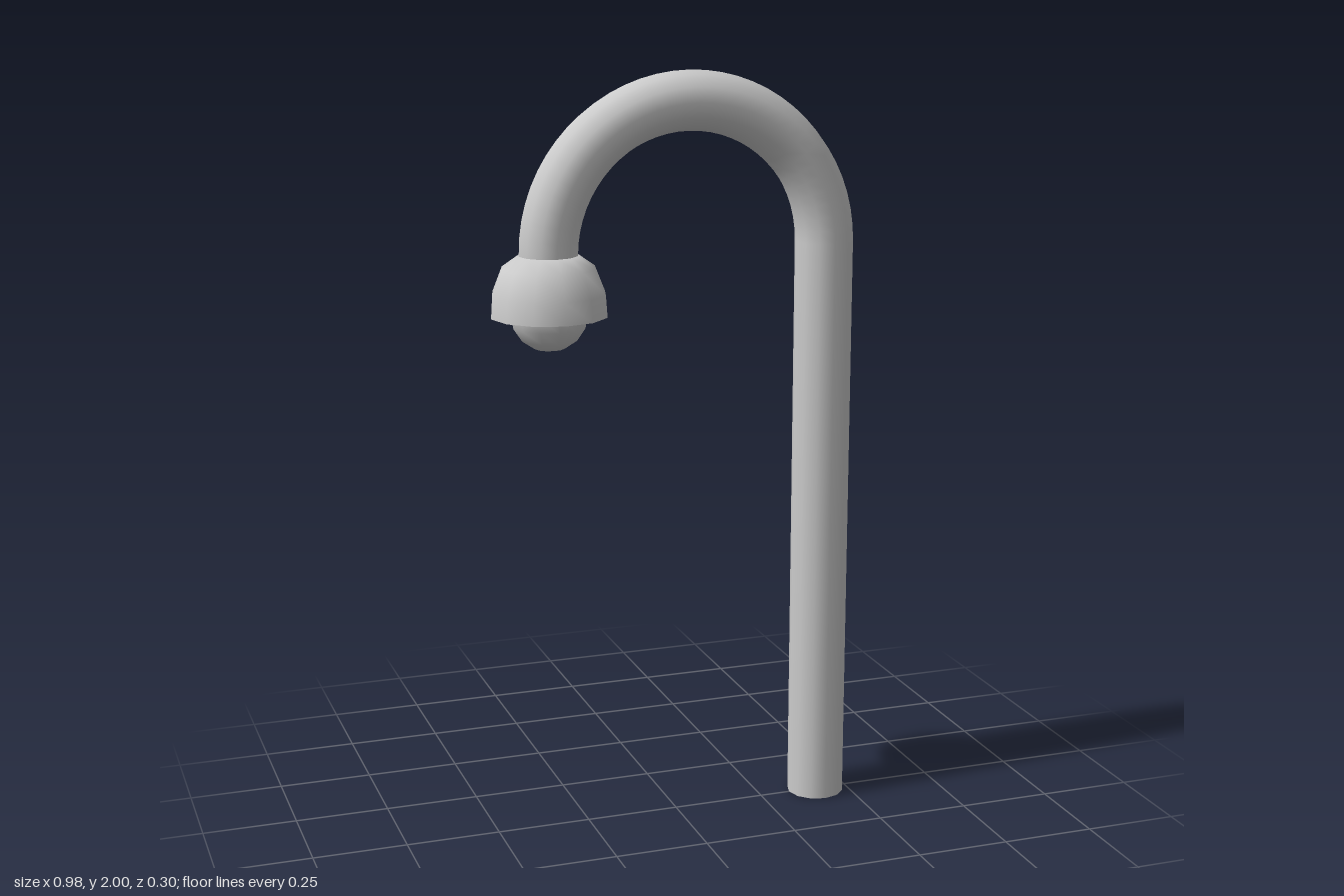
import * as THREE from 'three';

const SIDES = 12;
const TUBE = 0.077; // pipe radius
const BEND = 0.376; // bend radius
const BEND_Y = 1.547;
const BEND_X = 0.035;
const LAMP_X = BEND_X - BEND;
const RIM_Y = 1.392;

export function createModel() {
  const group = new THREE.Group();
  const material = new THREE.MeshStandardMaterial({ color: 0xcccccc });
  const add = (name, geometry, x, y) => {
    const mesh = new THREE.Mesh(geometry, material);
    mesh.name = name;
    mesh.position.set(x, y, 0);
    group.add(mesh);
    return mesh;
  };

  // Straight upright post
  add('post', new THREE.CylinderGeometry(TUBE, TUBE, BEND_Y, SIDES), BEND_X + BEND, BEND_Y / 2);

  // Half-circle crook on top of the post
  add('crook', new THREE.TorusGeometry(BEND, TUBE, SIDES, 32, Math.PI), BEND_X, BEND_Y);

  // Domed lamp shade, closed underneath by a flat disc
  const profile = [[0.152, 0], [0.148, 0.058], [0.122, 0.123], [0.077, 0.155], [0, 0.155]]
    .map(([r, y]) => new THREE.Vector2(r, y));
  add('lampShade', new THREE.LatheGeometry(profile, SIDES), LAMP_X, RIM_Y);
  add('shadeUnderside', new THREE.CircleGeometry(0.152, SIDES).rotateX(Math.PI / 2), LAMP_X, RIM_Y);

  // Round bulb showing below the shade
  add('bulb', new THREE.SphereGeometry(0.102, SIDES, 8), LAMP_X, 1.402);

  return group;
}
